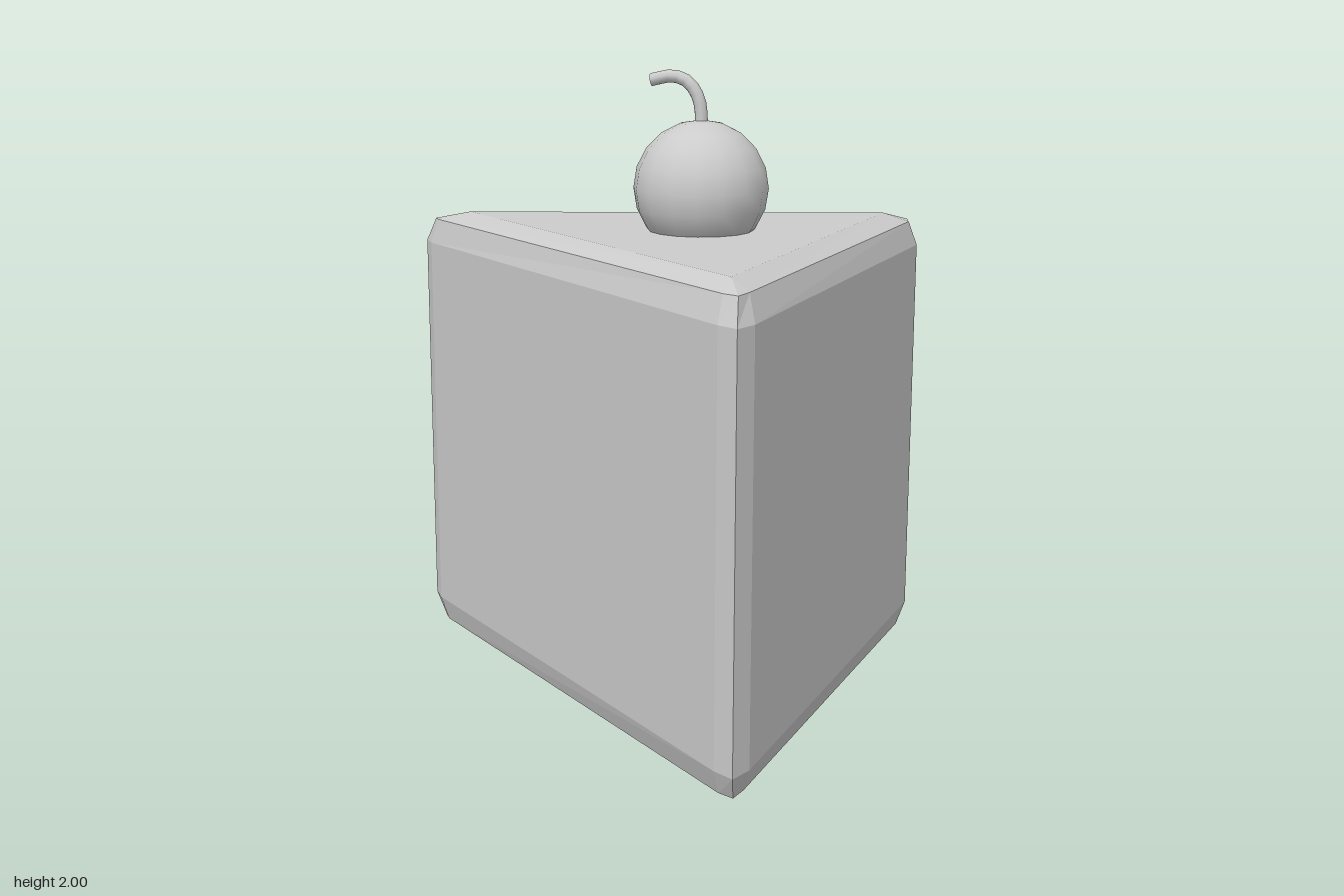
import * as THREE from 'three';

const grey = () => new THREE.MeshStandardMaterial({ color: 0xcccccc });

// Triangular wedge with a two-step bevel, lofted through rings of nine points.
function createSlice() {
  // Corners counterclockwise from above: tip, right, left (x, z)
  const wall = [
    [0.235, 0.755], [0.29, 0.805], [0.335, 0.74],
    [0.838, -0.715], [0.838, -0.785], [0.765, -0.808],
    [-0.79, -0.71], [-0.842, -0.688], [-0.815, -0.625],
  ];
  const bevel = [
    [0.247, 0.725], [0.29, 0.757], [0.318, 0.7],
    [0.808, -0.705], [0.806, -0.777], [0.76, -0.786],
    [-0.755, -0.688], [-0.803, -0.662], [-0.788, -0.625],
  ];
  const face = [[0.265, 0.635], [0.72, -0.7], [-0.675, -0.61]].flatMap(p => [p, p, p]);
  const rings = [[face, 0], [bevel, 0.03], [wall, 0.11], [wall, 1.39], [bevel, 1.47], [face, 1.5]]
    .map(([pts, y]) => pts.map(([x, z]) => new THREE.Vector3(x, y, z)));

  const out = [];
  const tri = (a, b, c) => {
    if (a.equals(b) || b.equals(c) || a.equals(c)) return;
    for (const p of [a, b, c]) out.push(p.x, p.y, p.z);
  };
  for (let r = 0; r < rings.length - 1; r++) {
    for (let i = 0; i < 9; i++) {
      const j = (i + 1) % 9;
      const [lo, up] = [rings[r], rings[r + 1]];
      tri(lo[i], lo[j], up[j]);
      tri(lo[i], up[j], up[i]);
    }
  }
  // Top and bottom faces
  const top = rings[5], base = rings[0];
  tri(top[0], top[3], top[6]);
  tri(base[0], base[6], base[3]);

  const geo = new THREE.BufferGeometry();
  geo.setAttribute('position', new THREE.Float32BufferAttribute(out, 3));
  geo.computeVertexNormals();
  const mat = grey();
  mat.flatShading = true;
  const mesh = new THREE.Mesh(geo, mat);
  mesh.name = 'cakeSlice';
  return mesh;
}

function createCherry() {
  const group = new THREE.Group();
  group.name = 'cherry';

  const fruit = new THREE.Mesh(new THREE.SphereGeometry(0.214, 16, 10), grey());
  fruit.name = 'cherryFruit';
  fruit.position.set(0.13, 1.632, -0.25);
  group.add(fruit);

  // Bent stem
  const path = new THREE.CatmullRomCurve3([
    [0.13, 1.81, -0.25], [0.13, 1.86, -0.25], [0.12, 1.915, -0.251],
    [0.088, 1.962, -0.256], [0.04, 1.98, -0.263], [-0.03, 1.967, -0.272],
  ].map(p => new THREE.Vector3(...p)));
  const stem = new THREE.Mesh(new THREE.TubeGeometry(path, 10, 0.02, 8), grey());
  stem.name = 'cherryStem';
  group.add(stem);

  // Cut end of the stem
  const cap = new THREE.Mesh(new THREE.CircleGeometry(0.02, 8), grey());
  cap.name = 'stemEnd';
  cap.position.copy(path.getPoint(1));
  cap.quaternion.setFromUnitVectors(new THREE.Vector3(0, 0, 1), path.getTangent(1));
  group.add(cap);
  return group;
}

export function createModel() {
  const model = new THREE.Group();
  model.name = 'cakeWithCherry';
  model.add(createSlice(), createCherry());
  return model;
}
